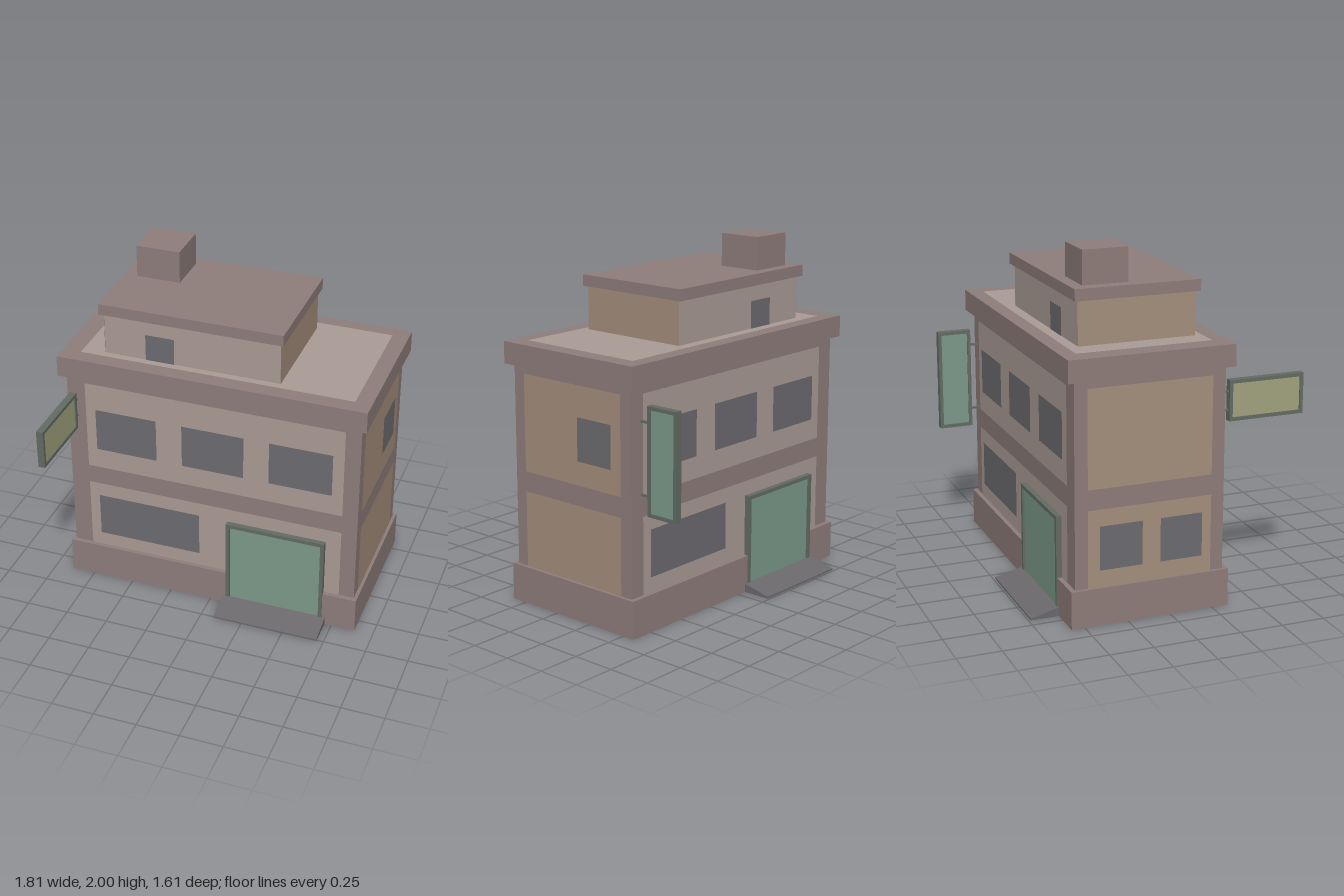
import * as THREE from 'three';

const mat = (color) => new THREE.MeshStandardMaterial({ color, side: THREE.DoubleSide });
const M = {
  trim: mat(0x8f7d7b), panel: mat(0xab9c96), sidePanel: mat(0xa58f7c),
  glass: mat(0x6d6b70), green: mat(0x7c9a8a), frame: mat(0x636c63),
  olive: mat(0xa3a37e), ramp: mat(0x6b696c),
};

function add(parent, name, geometry, material) {
  const m = new THREE.Mesh(geometry, material);
  m.name = name;
  parent.add(m);
  return m;
}

// Box given by its limits
function block(parent, name, material, x0, x1, y0, y1, z0, z1) {
  const m = add(parent, name, new THREE.BoxGeometry(x1 - x0, y1 - y0, z1 - z0), material);
  m.position.set((x0 + x1) / 2, (y0 + y1) / 2, (z0 + z1) / 2);
  return m;
}

// Flat rectangle facing +z
function plate(parent, name, material, x0, x1, y0, y1, z) {
  const m = add(parent, name, new THREE.PlaneGeometry(x1 - x0, y1 - y0), material);
  m.position.set((x0 + x1) / 2, (y0 + y1) / 2, z);
  return m;
}

// Upright wall along a plan path of [x, z] points
function wall(parent, name, path, y0, y1) {
  const pos = [];
  for (let i = 0; i < path.length - 1; i++) {
    const [a, b] = path[i], [c, d] = path[i + 1];
    pos.push(a, y0, b, c, y0, d, c, y1, d, a, y0, b, c, y1, d, a, y1, b);
  }
  const g = new THREE.BufferGeometry();
  g.setAttribute('position', new THREE.Float32BufferAttribute(pos, 3));
  g.computeVertexNormals();
  return add(parent, name, g, M.trim);
}

// Rectangular frame with a recessed panel, centred, facing +z
function framed(name, w, h, depth, border, panelDepth, panelMaterial) {
  const g = new THREE.Group();
  g.name = name;
  const rect = (Type, a, b) => new Type([[-a, -b], [a, -b], [a, b], [-a, b]].map((p) => new THREE.Vector2(...p)));
  const s = rect(THREE.Shape, w / 2, h / 2);
  s.holes.push(rect(THREE.Path, w / 2 - border, h / 2 - border));
  const geo = new THREE.ExtrudeGeometry(s, { depth, bevelEnabled: false });
  geo.translate(0, 0, -depth / 2);
  add(g, name + 'Frame', geo, M.frame);
  add(g, name + 'Panel', new THREE.BoxGeometry(w - 2 * border, h - 2 * border, panelDepth), panelMaterial);
  return g;
}

// Long face: wall panels, windows, door and ramp
function facade() {
  const g = new THREE.Group();
  const z = 0.317;
  plate(g, 'lowerWallPanel', M.panel, -0.76, 0.78, 0.215, 0.655, z + 0.002);
  plate(g, 'upperWallPanel', M.panel, -0.76, 0.78, 0.77, 1.325, z + 0.002);
  for (const x of [-0.7, -0.175, 0.345]) plate(g, 'upperWindow', M.glass, x, x + 0.37, 0.895, 1.16, z + 0.004);
  plate(g, 'shopWindow', M.glass, -0.7, -0.075, 0.3, 0.57, z + 0.004);

  const door = framed('door', 0.59, 0.57, 0.045, 0.022, 0.02, M.green);
  door.position.set(0.395, 0.285, 0.328);
  g.add(door);

  const profile = new THREE.Shape([[0.345, 0], [0.508, 0], [0.508, 0.01], [0.345, 0.05]].map((p) => new THREE.Vector2(...p)));
  const ramp = add(g, 'ramp', new THREE.ExtrudeGeometry(profile, { depth: 0.63, bevelEnabled: false }), M.ramp);
  ramp.rotation.y = -Math.PI / 2;
  ramp.position.x = 0.71;
  return g;
}

// Short face: panels and windows, turned to face +x or -x
function sideFace(dir, windows) {
  const g = new THREE.Group();
  const z = 0.87;
  plate(g, 'lowerSidePanel', M.sidePanel, -0.358, 0.358, 0.215, 0.655, z + 0.002);
  plate(g, 'upperSidePanel', M.sidePanel, -0.358, 0.358, 0.77, 1.325, z + 0.002);
  for (const [a, b, y0, y1] of windows) plate(g, 'sideWindow', M.glass, a, b, y0, y1, z + 0.004);
  g.rotation.y = dir * Math.PI / 2;
  g.position.z = -0.115;
  return g;
}

// Hanging sign with two rods back to the wall
function sign(name, x, y0, y1, z0, z1, wallZ, rods, material) {
  const g = new THREE.Group();
  g.name = name;
  const board = framed(name, z1 - z0, y1 - y0, 0.04, 0.02, 0.026, material);
  board.rotation.y = Math.PI / 2;
  board.position.set(x, (y0 + y1) / 2, (z0 + z1) / 2);
  g.add(board);
  const near = wallZ > 0 ? z0 : z1;
  for (const y of rods) {
    block(g, 'signRod', M.frame, x - 0.006, x + 0.006, y - 0.006, y + 0.006,
      Math.min(wallZ, near), Math.max(wallZ, near));
  }
  return g;
}

export function createModel() {
  const model = new THREE.Group();
  model.name = 'building';

  // Plinth: two C-shaped halves leaving gaps for the doors, open below
  const c = (x, zf, zb, s) => [[s > 0 ? 0.69 : 0.1, zf], [s * x, zf], [s * x, zb], [s > 0 ? -0.08 : -0.67, zb]];
  for (const s of [1, -1]) {
    const outer = c(0.89, 0.345, -0.575, s), inner = c(0.87, 0.317, -0.547, s);
    wall(model, 'plinthWall', outer, 0, 0.215);
    const ring = [...outer, ...inner.reverse()].map(([x, z]) => new THREE.Vector2(x, -z));
    const ledge = add(model, 'plinthLedge', new THREE.ShapeGeometry(new THREE.Shape(ring)), M.trim);
    ledge.rotation.x = -Math.PI / 2;
    ledge.position.y = 0.215;
  }

  // Main walls
  wall(model, 'mainWalls', [[-0.87, 0.317], [0.87, 0.317], [0.87, -0.547], [-0.87, -0.547], [-0.87, 0.317]], 0.215, 1.37);

  // Front and back faces, the back turned half round
  const front = facade();
  front.name = 'frontFace';
  const back = facade();
  back.name = 'backFace';
  back.rotation.y = Math.PI;
  back.position.set(0.02, 0, -0.23);
  model.add(front, back);

  const left = sideFace(1, [[0.045, 0.29, 0.905, 1.15]]);
  left.name = 'leftFace';
  const right = sideFace(-1, [[-0.29, -0.045, 0.31, 0.56], [0.06, 0.305, 0.31, 0.56]]);
  right.name = 'rightFace';
  model.add(left, right);

  // Roof slab and its inner surface
  block(model, 'roofSlab', M.trim, -0.905, 0.905, 1.37, 1.495, -0.59, 0.36);
  const deck = add(model, 'roofDeck', new THREE.PlaneGeometry(1.605, 0.777), M.panel);
  deck.rotation.x = -Math.PI / 2;
  deck.position.set(0.008, 1.497, -0.118);

  // Rooftop room, its doors and chimney
  block(model, 'roofRoom', M.panel, -0.66, 0.375, 1.495, 1.745, -0.445, 0.228);
  for (const x of [-0.66, 0.375]) {
    const side = add(model, 'roofRoomSide', new THREE.PlaneGeometry(0.673, 0.25), M.sidePanel);
    side.rotation.y = Math.sign(x) * Math.PI / 2;
    side.position.set(x + Math.sign(x) * 0.002, 1.62, -0.1085);
  }
  plate(model, 'roofDoorFront', M.glass, -0.415, -0.245, 1.495, 1.655, 0.231);
  plate(model, 'roofDoorBack', M.glass, -0.41, -0.24, 1.495, 1.655, -0.448).rotation.y = Math.PI;
  block(model, 'roofRoomSlab', M.trim, -0.685, 0.395, 1.745, 1.81, -0.47, 0.25);
  block(model, 'chimney', M.trim, -0.61, -0.35, 1.81, 2, -0.4, -0.14);

  // Signs
  model.add(sign('frontSign', -0.815, 1.045, 1.275, 0.36, 0.805, 0.317, [1.21, 1.105], M.olive));
  model.add(sign('backSign', 0.79, 0.675, 1.275, -0.805, -0.605, -0.547, [1.18, 0.78], M.green));
  return model;
}
